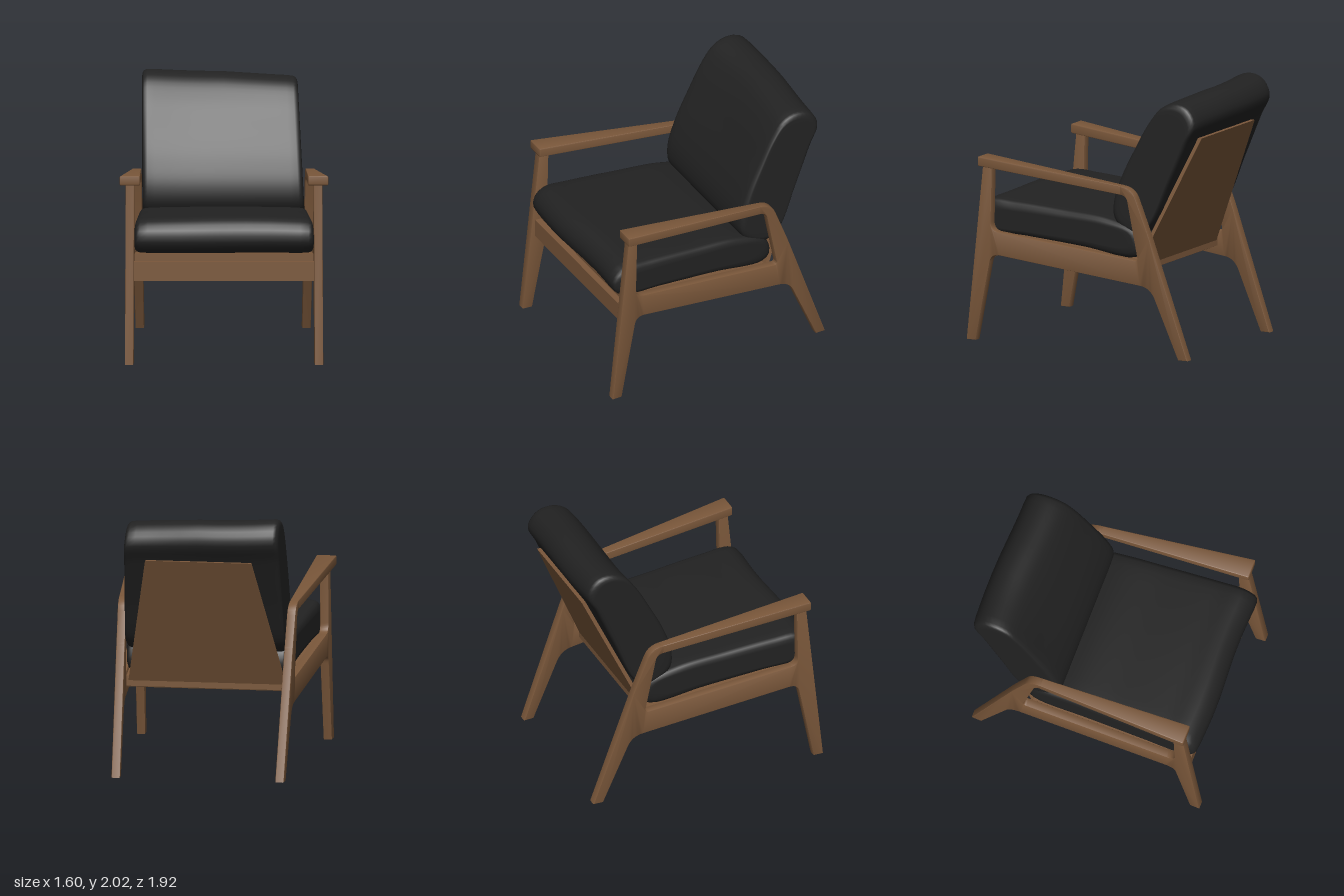
import * as THREE from 'three';
import { toCreasedNormals } from 'three/addons/utils/BufferGeometryUtils.js';

const wood = new THREE.MeshStandardMaterial({ color: 0x7a573a });
wood.name = 'walnut wood';
const fabric = new THREE.MeshStandardMaterial({ color: 0x222222 });
fabric.name = 'black upholstery';

// Sideways position of the frame, which splays towards the front
const splay = z => 0.68 + 0.049 * z;

// Move every vertex by a rule
function warp(geo, rule) {
  const p = geo.attributes.position, v = new THREE.Vector3();
  for (let i = 0; i < p.count; i++) {
    v.fromBufferAttribute(p, i);
    rule(v);
    p.setXYZ(i, v.x, v.y, v.z);
  }
  geo.computeVertexNormals();
  return geo;
}

// Polygon of [z, y, cornerRadius] with rounded corners
function roundedShape(pts) {
  const s = new THREE.Shape(), n = pts.length;
  const V = i => new THREE.Vector2(pts[(i + n) % n][0], pts[(i + n) % n][1]);
  for (let i = 0; i < n; i++) {
    const r = pts[i][2] || 0, c = V(i);
    const a = V(i - 1).sub(c).setLength(r).add(c);
    const b = V(i + 1).sub(c).setLength(r).add(c);
    if (i) s.lineTo(a.x, a.y); else s.moveTo(a.x, a.y);
    if (r) s.quadraticCurveTo(c.x, c.y, b.x, b.y);
  }
  s.closePath();
  return s;
}

// Side profile extruded across x, centred on x = 0, with softened edges
function slab(pts, width, bevel) {
  const geo = new THREE.ExtrudeGeometry(roundedShape(pts), {
    depth: width - 2 * bevel, bevelEnabled: true, bevelThickness: bevel, bevelSize: bevel,
    bevelOffset: -bevel, bevelSegments: 2, curveSegments: 8,
  });
  return geo.translate(0, 0, bevel - width / 2).rotateY(-Math.PI / 2);
}

// Padded cushion: a closed [z, y] profile lofted across x, drawn in at both ends
function cushion(profile, halfWidth, inset, rule) {
  const curve = new THREE.CatmullRomCurve3(profile.map(([z, y]) => new THREE.Vector3(0, y, z)), true, 'centripetal');
  const N = 72, ring = curve.getSpacedPoints(N).slice(0, N);
  const box = new THREE.Box3().setFromPoints(ring);
  const mid = box.getCenter(new THREE.Vector3()), half = box.getSize(new THREE.Vector3()).multiplyScalar(0.5);
  // [x fraction, inset fraction, extra scale towards the centre]
  const end = [[1, 1, 0], [1, 1, 0.5], [1, 1, 0.9], [1, 1, 1], [0.993, 0.6, 1], [0.975, 0.25, 1], [0.94, 0.06, 1],
    [0.85, 0, 1], [0.7, 0, 1], [0.5, 0, 1], [0.25, 0, 1]];
  const sections = [...end.map(([x, d, s]) => [-x, d, s]), [0, 0, 1], ...end.slice().reverse()];
  const pos = [], idx = [];
  sections.forEach(([x, d, s], j) => {
    const sy = s * (1 - d * inset / half.y), sz = s * (1 - d * inset / half.z);
    ring.forEach((p, i) => {
      pos.push(x * halfWidth, mid.y + (p.y - mid.y) * sy, mid.z + (p.z - mid.z) * sz);
      if (j === sections.length - 1) return;
      const a = j * N + i, b = j * N + (i + 1) % N;
      idx.push(a, b, a + N, b, b + N, a + N);
    });
  });
  const geo = new THREE.BufferGeometry();
  geo.setAttribute('position', new THREE.Float32BufferAttribute(pos, 3));
  geo.setIndex(idx);
  return warp(geo, rule);
}

export function createModel() {
  const chair = new THREE.Group();
  chair.name = 'loungeChair';
  const add = (name, geo, mat) => {
    const mesh = new THREE.Mesh(geo, mat);
    mesh.name = name;
    chair.add(mesh);
  };

  // Side frames: front leg, side rail and back leg in one piece, plus the arm
  const framePts = [
    [0.963, 0], [0.82, 1.4], [0.745, 1.39], [0.757, 0.865, 0.07], [-0.505, 0.742, 0.03],
    [-0.405, 1.243, 0.05], [-0.35, 1.249], [-0.35, 1.316], [-0.455, 1.305, 0.09],
    [-0.595, 0.95, 0.05], [-0.93, 0], [-0.85, 0], [-0.61, 0.543, 0.09], [0.753, 0.685, 0.07], [0.885, 0],
  ];
  const armPts = [[0.845, 1.446, 0.012], [-0.36, 1.315], [-0.36, 1.248], [0.845, 1.372, 0.012]];
  for (const [side, label] of [[1, 'left'], [-1, 'right']]) {
    const frame = warp(slab(framePts, 0.066, 0.006), v => { v.x += side * splay(v.z); });
    add(label + 'SideFrame', toCreasedNormals(frame, 0.6), wood);
    const arm = warp(slab(armPts, 0.156, 0.01), v => {
      const k = THREE.MathUtils.mapLinear(v.z, -0.36, 0.84, 0.43, 1);
      v.x = v.x * k + side * splay(v.z);
    });
    add(label + 'Armrest', toCreasedNormals(arm, 0.6), wood);
  }

  // Front rail and sloping seat board
  add('frontRail', new THREE.BoxGeometry(1.39, 0.148, 0.06).translate(0, 0.709, 0.83), wood);
  const board = new THREE.BoxGeometry(2, 0.08, 1.27).translate(0, 0.717, 0.175);
  add('seatBoard', warp(board, v => {
    v.x *= splay(v.z) - 0.025;
    v.y += 0.1 * v.z;
  }), wood);

  // Leaning back panel, narrower at the top
  const panel = new THREE.BoxGeometry(1, 1, 0.032).translate(0, 0.5, 0);
  add('backPanel', warp(panel, v => {
    const t = v.y;
    v.x *= 1.24 - 0.42 * t;
    v.y = 0.62 + 1.075 * t;
    v.z -= 0.42 + 0.475 * t;
  }), wood);

  // Seat cushion, wider at the front and slightly crowned
  const seatPts = [[-0.49, 0.8], [-0.45, 0.95], [-0.2, 1.035], [0.2, 1.07], [0.6, 1.095], [0.82, 1.095], [0.9, 1.02],
    [0.905, 0.93], [0.83, 0.855], [0.5, 0.83], [0, 0.79], [-0.42, 0.745]];
  add('seatCushion', cushion(seatPts, 1, 0.07, v => {
    if (v.y > 0.95) v.y += 0.015 * (1 - v.x * v.x) * (v.y - 0.95) / 0.15;
    v.z -= 0.012 * Math.sin(v.x * 4) * Math.max(0, v.z);
    v.x *= 0.648 + 0.047 * v.z;
  }), fabric);

  // Back cushion, sagging a little towards one top corner
  const backPts = [[-0.56, 1.0], [-0.72, 1.35], [-0.87, 1.69], [-0.945, 1.85], [-0.88, 1.97], [-0.77, 2.0], [-0.65, 1.96],
    [-0.54, 1.83], [-0.42, 1.62], [-0.3, 1.38], [-0.235, 1.18], [-0.24, 1.04], [-0.33, 0.95], [-0.46, 0.93]];
  add('backCushion', cushion(backPts, 0.62, 0.05, v => {
    const up = THREE.MathUtils.clamp((v.y - 1) / 1, 0, 1);
    const across = v.x / 0.62;
    v.y += up * (across < 0 ? 0.025 * across * across : -0.03 * across);
    v.z -= up * up * 0.018 * Math.cos(across * 2.5 + 0.9);
    if (v.x > 0) v.x *= 1 - 0.085 * up;
  }), fabric);

  return chair;
}
